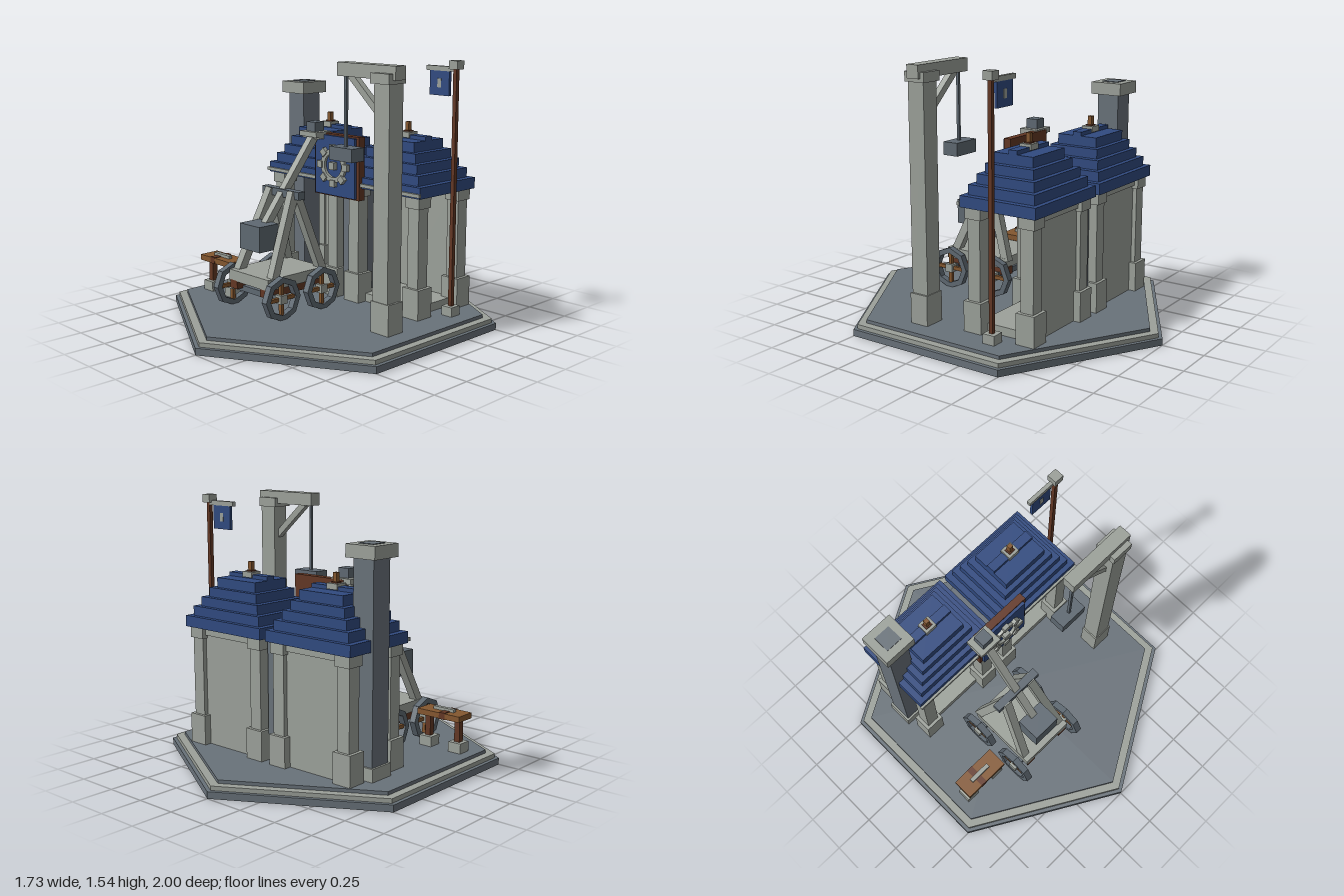
import * as THREE from 'three';

const mat = (name, color) => {
  const m = new THREE.MeshStandardMaterial({ color });
  m.name = name;
  return m;
};

export function createModel() {
  const light = mat('lightStone', 0x9ca19a);
  const dark = mat('darkStone', 0x69727a);
  const iron = mat('iron', 0x5f6972);
  const blue = mat('blue', 0x304a80);
  const brown = mat('darkWood', 0x633724);
  const tan = mat('lightWood', 0x84572f);

  const root = new THREE.Group();
  root.name = 'siegeWorkshop';
  const group = (name, parent = root) => {
    const g = new THREE.Group();
    g.name = name;
    parent.add(g);
    return g;
  };
  // Box given by its min and max along each axis
  const box = (p, name, m, x0, x1, y0, y1, z0, z1) => {
    const b = new THREE.Mesh(new THREE.BoxGeometry(x1 - x0, y1 - y0, z1 - z0), m);
    b.position.set((x0 + x1) / 2, (y0 + y1) / 2, (z0 + z1) / 2);
    b.name = name;
    p.add(b);
    return b;
  };
  // Box centred on x and z
  const pillar = (p, name, m, x, z, hx, hz, y0, y1) =>
    box(p, name, m, x - hx, x + hx, y0, y1, z - hz, z + hz);
  // Square beam between two points
  const beam = (p, name, m, a, b, w, d = w) => {
    const A = new THREE.Vector3(...a), B = new THREE.Vector3(...b);
    const o = new THREE.Mesh(new THREE.BoxGeometry(w, A.distanceTo(B), d), m);
    o.position.copy(A).add(B).multiplyScalar(0.5);
    o.quaternion.setFromUnitVectors(new THREE.Vector3(0, 1, 0), B.sub(A).normalize());
    o.name = name;
    p.add(o);
  };

  // Stepped hexagonal base
  const base = group('base');
  [[1, 0, 0.04, dark], [0.975, 0.04, 0.065, light], [0.922, 0.065, 0.085, dark]].forEach(([r, y0, y1, m], i) => {
    const g = new THREE.CylinderGeometry(r, r, y1 - y0, 6).toNonIndexed();
    g.computeVertexNormals();
    const s = new THREE.Mesh(g, m);
    s.position.y = (y0 + y1) / 2;
    s.name = 'baseStep' + (i + 1);
    base.add(s);
  });

  // Two open bays with stepped roofs
  const ys = [0.79, 0.855, 0.912, 0.967, 1.022, 1.08];
  for (const s of [-1, 1]) {
    const bay = group(s < 0 ? 'rightBay' : 'leftBay');
    const cx = 0.325 * s, cz = -0.328;
    box(bay, 'floor', light, cx - 0.23, cx + 0.23, 0.08, 0.135, -0.5, -0.16);
    box(bay, 'backWall', light, cx - 0.21, cx + 0.21, 0.08, 0.745, -0.515, -0.475);
    box(bay, 'backLintel', light, cx - 0.21, cx + 0.21, 0.745, 0.8, -0.53, -0.47);
    for (const dx of [-0.235, 0.235]) for (const dz of [-0.173, 0.173]) {
      const x = cx + dx, z = cz + dz;
      pillar(bay, 'postFoot', light, x, z, 0.06, 0.058, 0.08, 0.262);
      pillar(bay, 'post', light, x, z, 0.04, 0.04, 0.26, 0.8);
      pillar(bay, 'postCapital', light, x, z, 0.05, 0.052, 0.725, 0.8);
    }
    for (let i = 0; i < 5; i++)
      pillar(bay, 'roofTier', blue, cx, cz, 0.305 - i * 0.0375, 0.243 - i * 0.029, ys[i], ys[i + 1]);
    pillar(bay, 'roofRidge', blue, cx, cz, 0.155, 0.028, 1.08, 1.103);
    pillar(bay, 'finialBase', light, cx, cz, 0.038, 0.036, 1.085, 1.118);
    pillar(bay, 'finial', brown, cx, cz, 0.022, 0.02, 1.118, 1.125);
    pillar(bay, 'finialTip', tan, cx, cz, 0.013, 0.013, 1.118, 1.175);
  }
  box(root, 'dividerWall', dark, -0.03, 0.03, 0.08, 0.8, -0.5, -0.15);
  box(root, 'eaveBeam', light, -0.637, 0.637, 0.8, 0.82, -0.086, -0.071);

  // Chimney
  const chimney = group('chimney');
  const hx = -0.577, hz = -0.337;
  pillar(chimney, 'chimneyFoot', light, hx, hz, 0.08, 0.08, 0.08, 0.16);
  pillar(chimney, 'chimneyShaft', dark, hx, hz, 0.068, 0.068, 0.08, 1.285);
  pillar(chimney, 'chimneyCap', light, hx, hz, 0.098, 0.098, 1.28, 1.352);
  pillar(chimney, 'chimneyOpening', dark, hx, hz, 0.05, 0.05, 1.35, 1.356);

  // Sign board with a toothed wheel
  const sign = group('sign');
  box(sign, 'signBoard', brown, -0.185, 0.185, 0.718, 1.092, -0.108, -0.062);
  box(sign, 'signPanel', blue, -0.165, 0.165, 0.727, 1.083, -0.064, -0.045);
  const gear = group('signGear', sign);
  gear.position.set(0, 0.908, -0.046);
  const ring = new THREE.Shape().absarc(0, 0, 0.1, 0, Math.PI * 2);
  ring.holes.push(new THREE.Path().absarc(0, 0, 0.07, 0, Math.PI * 2, true));
  const rim = new THREE.Mesh(new THREE.ExtrudeGeometry(ring, { depth: 0.018, bevelEnabled: false, curveSegments: 16 }), light);
  rim.name = 'gearRing';
  gear.add(rim);
  for (let i = 0; i < 8; i++) {
    const arm = group('gearTooth', gear);
    arm.rotation.z = i * Math.PI / 4;
    box(arm, 'tooth', light, 0.085, 0.125, -0.02, 0.02, 0, 0.026);
  }
  box(gear, 'gearHub', light, -0.022, 0.022, -0.022, 0.022, 0, 0.03);

  // Crane with a hanging weight
  const crane = group('crane');
  pillar(crane, 'cranePost', light, 0.62, 0.165, 0.055, 0.053, 0.08, 1.47);
  pillar(crane, 'craneFoot', light, 0.622, 0.165, 0.066, 0.058, 0.08, 0.262);
  pillar(crane, 'craneCapital', light, 0.617, 0.168, 0.067, 0.066, 1.447, 1.503);
  box(crane, 'craneBeam', light, 0.27, 0.702, 1.468, 1.543, 0.125, 0.203);
  beam(crane, 'craneBrace', light, [0.35, 1.475, 0.165], [0.59, 1.26, 0.165], 0.038);
  pillar(crane, 'craneRope', iron, 0.305, 0.165, 0.008, 0.008, 1.06, 1.47);
  pillar(crane, 'craneWeight', iron, 0.303, 0.16, 0.088, 0.048, 1.0, 1.076);

  // Flag on a pole
  const flag = group('flag');
  const fz = -0.326;
  pillar(flag, 'poleFoot', light, 0.67, fz, 0.037, 0.037, 0.08, 0.14);
  pillar(flag, 'pole', brown, 0.672, fz, 0.012, 0.012, 0.13, 1.51);
  pillar(flag, 'poleCap', light, 0.672, fz, 0.03, 0.03, 1.497, 1.545);
  box(flag, 'flagBar', light, 0.465, 0.66, 1.483, 1.51, fz - 0.012, fz + 0.012);
  box(flag, 'flagCloth', blue, 0.49, 0.63, 1.345, 1.485, fz - 0.009, fz + 0.009);
  box(flag, 'flagEmblem', light, 0.547, 0.573, 1.39, 1.44, fz - 0.012, fz + 0.012);

  // Catapult on wheels
  const cat = group('catapult');
  const tx = -0.163;
  box(cat, 'deck', light, tx - 0.175, tx + 0.175, 0.25, 0.315, 0.055, 0.49);
  for (const s of [-1, 1]) {
    pillar(cat, 'chassisRail', brown, tx + s * 0.135, 0.27, 0.032, 0.22, 0.205, 0.255);
    beam(cat, 'frontLeg', light, [tx + s * 0.15, 0.29, 0.44], [tx + s * 0.095, 0.775, 0.225], 0.05);
    beam(cat, 'backLeg', light, [tx + s * 0.15, 0.29, 0.055], [tx + s * 0.095, 0.775, 0.215], 0.05);
  }
  box(cat, 'pivotBar', iron, tx - 0.16, tx + 0.16, 0.738, 0.784, 0.192, 0.24);
  beam(cat, 'throwingArm', light, [tx, 0.575, 0.365], [tx, 1.09, -0.045], 0.045);
  pillar(cat, 'counterweight', iron, tx, 0.403, 0.087, 0.073, 0.455, 0.605);
  pillar(cat, 'armTray', light, tx, -0.043, 0.072, 0.037, 1.058, 1.1);
  pillar(cat, 'armTrayRim', light, tx, -0.043, 0.072, 0.06, 1.07, 1.1);
  pillar(cat, 'shotBlock', iron, tx, -0.043, 0.037, 0.037, 1.1, 1.156);

  for (const z of [0.115, 0.43]) {
    pillar(cat, 'axle', iron, tx, z, 0.215, 0.018, 0.185, 0.22);
    for (const s of [-1, 1]) {
      const wheel = group('wheel', cat);
      wheel.position.set(tx + s * 0.218, 0.205, z);
      for (let i = 0; i < 8; i++) {
        const seg = group('wheelSegment', wheel);
        seg.rotation.x = (i + 0.5) * Math.PI / 4;
        box(seg, 'rim', iron, -0.02, 0.02, 0.088, 0.12, -0.049, 0.049);
      }
      box(wheel, 'spokeUpright', tan, -0.011, 0.011, -0.1, 0.1, -0.011, 0.011);
      box(wheel, 'spokeLevel', tan, -0.01, 0.01, -0.011, 0.011, -0.1, 0.1);
      box(wheel, 'hub', light, -0.026, 0.026, -0.025, 0.025, -0.025, 0.025);
    }
  }

  // Work bench
  const bench = group('bench');
  box(bench, 'benchTop', tan, -0.735, -0.442, 0.278, 0.312, 0.27, 0.398);
  box(bench, 'benchStrap', brown, -0.635, -0.595, 0.276, 0.316, 0.269, 0.399);
  box(bench, 'benchTool', light, -0.66, -0.52, 0.312, 0.33, 0.322, 0.348);
  for (const x of [-0.692, -0.485]) {
    pillar(bench, 'benchFoot', light, x, 0.334, 0.042, 0.042, 0.08, 0.145);
    pillar(bench, 'benchLeg', brown, x, 0.334, 0.018, 0.018, 0.14, 0.28);
  }
  return root;
}
